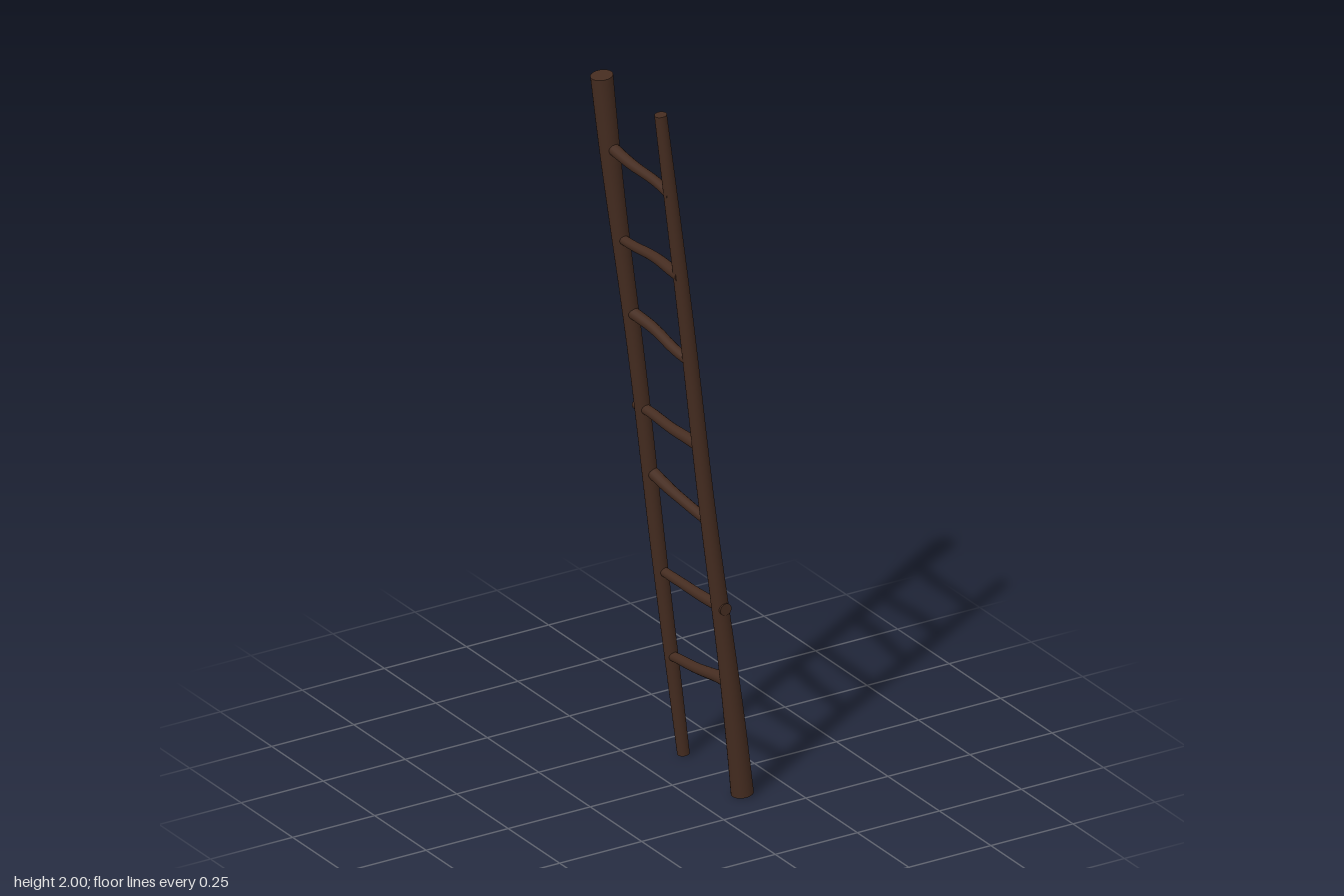
import * as THREE from 'three';

const bark = new THREE.MeshStandardMaterial({ color: 0x452c20, roughness: 1 });

// Linear lookup in an evenly spaced list, t in 0..1
function sample(list, t) {
  const f = t * (list.length - 1);
  const i = Math.min(Math.floor(f), list.length - 2);
  return THREE.MathUtils.lerp(list[i], list[i + 1], f - i);
}

// A tapered, slightly crooked stick from a to b; sway(t) offsets the centre line
function stick(name, a, b, radii, sway, sides, rows) {
  const geo = new THREE.CylinderGeometry(1, 1, 1, sides, rows);
  const axis = new THREE.Vector3().subVectors(b, a).normalize();
  const turn = new THREE.Quaternion().setFromUnitVectors(new THREE.Vector3(0, 1, 0), axis);
  const pos = geo.attributes.position;
  const nor = geo.attributes.normal;
  const v = new THREE.Vector3();
  for (let i = 0; i < pos.count; i++) {
    v.fromBufferAttribute(pos, i);
    const t = THREE.MathUtils.clamp(v.y + 0.5, 0, 1);
    const r = sample(radii, t);
    v.set(v.x * r, 0, v.z * r).applyQuaternion(turn);
    v.add(new THREE.Vector3().lerpVectors(a, b, t)).add(sway(t));
    pos.setXYZ(i, v.x, v.y, v.z);
    v.fromBufferAttribute(nor, i).applyQuaternion(turn);
    nor.setXYZ(i, v.x, v.y, v.z);
  }
  const mesh = new THREE.Mesh(geo, bark);
  mesh.name = name;
  return mesh;
}

// x of the leaning centre line at height y
const lean = (y) => 0.124 - 0.125 * y;

export function createModel() {
  const ladder = new THREE.Group();
  ladder.name = 'ladder';

  // Side poles: one thick at the foot, the other thick at the top
  const taper = [0.03, 0.0275, 0.0245, 0.0225, 0.0215, 0.021, 0.0205, 0.02, 0.019, 0.018, 0.0165];
  for (const side of [1, -1]) {
    const foot = new THREE.Vector3(lean(0.004), 0.004, side * 0.143);
    const top = new THREE.Vector3(lean(1.996), 1.996, side * 0.143);
    const radii = side > 0 ? taper : [...taper].reverse();
    const sway = (t) => new THREE.Vector3(
      0.002 * Math.sin(t * Math.PI * 3) * side,
      0,
      0.002 * Math.sin(t * Math.PI * 4)
    );
    ladder.add(stick(side > 0 ? 'frontPole' : 'backPole', foot, top, radii, sway, 20, 40));
  }

  // Rungs: height at front, height at back, front radius, back radius, front z, back z
  const rungs = [
    [0.327, 0.292, 0.018, 0.013, 0.15, -0.15],
    [0.55, 0.544, 0.017, 0.013, 0.168, -0.15],
    [0.799, 0.832, 0.014, 0.017, 0.15, -0.15],
    [1.022, 1.019, 0.017, 0.014, 0.15, -0.169],
    [1.272, 1.307, 0.014, 0.017, 0.15, -0.15],
    [1.527, 1.52, 0.017, 0.013, 0.15, -0.15],
    [1.762, 1.787, 0.013, 0.017, 0.15, -0.15],
  ];
  rungs.forEach(([yFront, yBack, rFront, rBack, zFront, zBack], i) => {
    const x = lean((yFront + yBack) / 2);
    const a = new THREE.Vector3(x, yFront, zFront);
    const b = new THREE.Vector3(x, yBack, zBack);
    const sway = (t) => new THREE.Vector3(
      0.003 * Math.sin(t * Math.PI * 2 + i),
      0.0015 * Math.sin(t * Math.PI * 3 + i * 2),
      0
    );
    const middle = (rFront + rBack) / 2 - 0.001;
    ladder.add(stick('rung' + (i + 1), a, b, [rFront, middle, rBack], sway, 14, 12));
  });

  return ladder;
}
